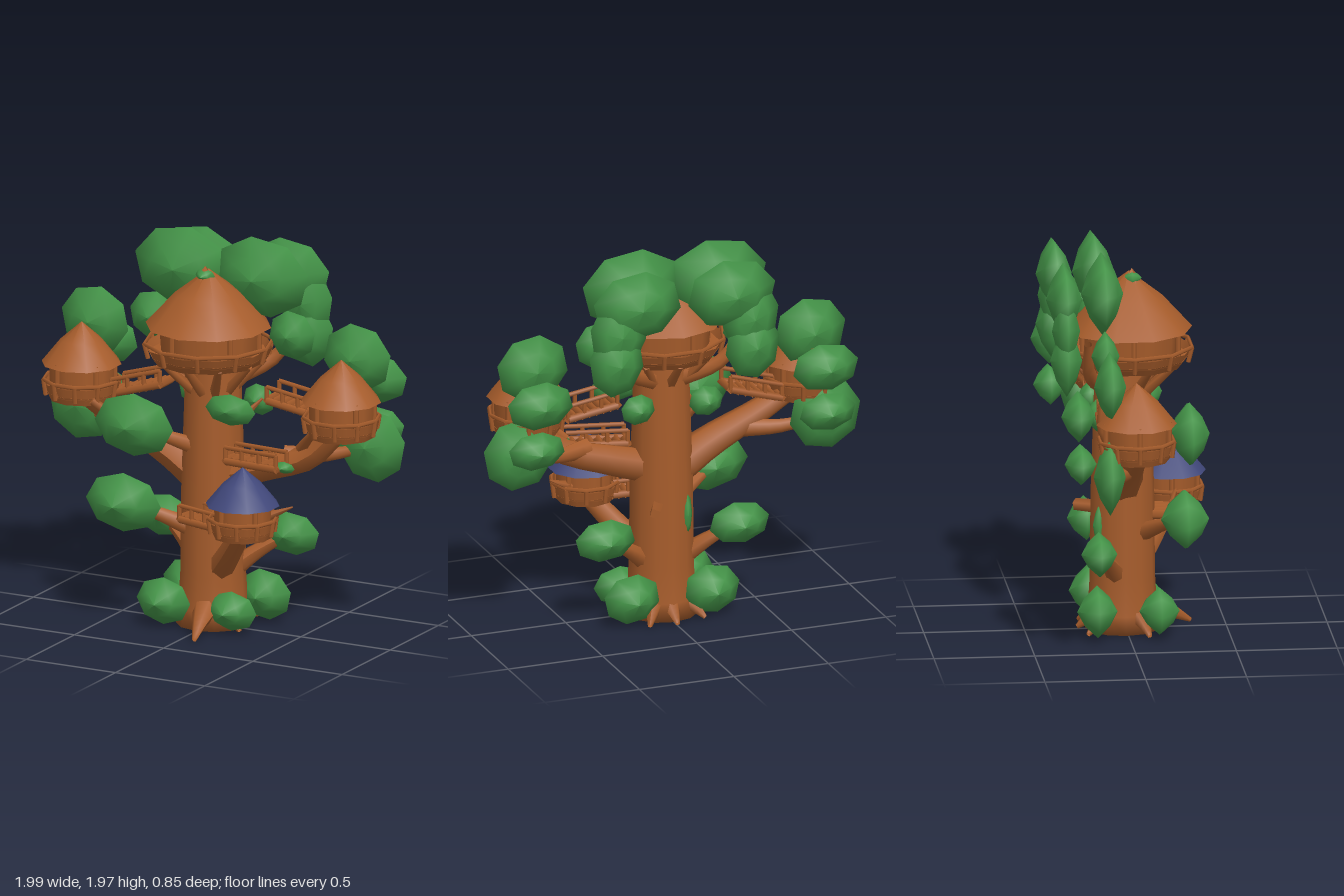
import * as THREE from 'three';

const wood = new THREE.MeshStandardMaterial({ color: 0xa65c2b, side: THREE.DoubleSide });
wood.name = 'wood brown';
const leaf = new THREE.MeshStandardMaterial({ color: 0x449448 });
leaf.name = 'leaf green';
const slate = new THREE.MeshStandardMaterial({ color: 0x40477a });
slate.name = 'roof blue';

const V = (x, y, z) => new THREE.Vector3(x, y, z);

function add(parent, name, geometry, material) {
  const mesh = new THREE.Mesh(geometry, material);
  mesh.name = name;
  parent.add(mesh);
  return mesh;
}

// Straight tapered stick between two points
function stick(parent, name, a, b, ra, rb = ra, sides = 5) {
  const mesh = add(parent, name, new THREE.CylinderGeometry(rb, ra, a.distanceTo(b), sides), wood);
  mesh.position.copy(a).lerp(b, 0.5);
  mesh.quaternion.setFromUnitVectors(V(0, 1, 0), b.clone().sub(a).normalize());
  return mesh;
}

// Curved branch that narrows from r0 to r1
function branch(parent, name, points, r0, r1, sides = 7) {
  const curve = new THREE.CatmullRomCurve3(points.map((p) => V(...p)));
  const steps = 8;
  const geo = new THREE.TubeGeometry(curve, steps, 1, sides);
  const pos = geo.attributes.position;
  const v = V(0, 0, 0);
  for (let i = 0; i < pos.count; i++) {
    const t = Math.floor(i / (sides + 1)) / steps;
    const c = curve.getPointAt(t);
    v.fromBufferAttribute(pos, i).sub(c).multiplyScalar(r0 + (r1 - r0) * t).add(c);
    pos.setXYZ(i, v.x, v.y, v.z);
  }
  geo.computeVertexNormals();
  return add(parent, name, geo, wood);
}

// Leaf clump: a bulging diamond with its sharp rim facing the sides
function clump(parent, x, y, z, rx, ry, rz, turn = 0) {
  const profile = [[0, -1], [0.55, -0.62], [1, 0], [0.55, 0.62], [0, 1]].map((p) => new THREE.Vector2(...p));
  const geo = new THREE.LatheGeometry(profile, 8, turn);
  geo.rotateX(Math.PI / 2);
  geo.scale(rx, ry, rz);
  add(parent, 'leafClump', geo, leaf).position.set(x, y, z);
}

// Round hut: deck with parapet, walls with posts, pointed roof over a wooden soffit
function hut(parent, name, x, y, z, o) {
  const g = new THREE.Group();
  g.name = name;
  g.position.set(x, y, z);
  parent.add(g);
  const n = 10;
  add(g, 'deck', new THREE.CylinderGeometry(o.deck * 0.95, o.deck * 0.86, 0.04, n), wood).position.y = 0.02;
  const wall = new THREE.CylinderGeometry(o.deck, o.deck * 0.93, o.rail - 0.045, n, 1, true);
  add(g, 'parapet', wall, wood).position.y = 0.03 + (o.rail - 0.045) / 2;
  const rail = add(g, 'railing', new THREE.TorusGeometry(o.deck, 0.011, 4, n), wood);
  rail.rotation.x = Math.PI / 2;
  rail.position.y = o.rail;
  for (let i = 0; i < n; i++) {
    const a = (i / n) * Math.PI * 2;
    const c = Math.cos(a), s = Math.sin(a);
    stick(g, 'railPost', V(c * o.deck * 0.94, 0.02, s * o.deck * 0.94), V(c * o.deck, o.rail, s * o.deck), 0.012);
    if (i % 2) {
      stick(g, 'wallPost', V(c * o.wall, 0.03, s * o.wall), V(c * o.wall, o.eave + 0.02, s * o.wall), 0.014);
    }
  }
  const wallH = o.eave + 0.02;
  add(g, 'walls', new THREE.CylinderGeometry(o.wall, o.wall * 0.94, wallH, n), wood).position.y = wallH / 2;
  const shape = [[o.roof, 0], [o.roof * 0.53, o.height * 0.56], [0.001, o.height]];
  const roof = new THREE.LatheGeometry(shape.map((p) => new THREE.Vector2(...p)), n);
  add(g, 'roof', roof, o.material || wood).position.y = o.eave;
  const soffit = new THREE.LatheGeometry([new THREE.Vector2(o.wall * 0.7, 0.012), new THREE.Vector2(o.roof * 0.99, 0)], n);
  add(g, 'soffit', soffit, wood).position.y = o.eave;
}

// Plank walkway with rails on both sides
function walkway(parent, a, b, width) {
  const g = new THREE.Group();
  g.name = 'walkway';
  parent.add(g);
  const side = b.clone().sub(a).cross(V(0, 1, 0)).normalize().multiplyScalar(width / 2);
  for (let i = 0; i < 8; i++) {
    const p = a.clone().lerp(b, i / 7);
    stick(g, 'plank', p.clone().sub(side), p.clone().add(side), 0.024, 0.024, 4);
  }
  for (const s of [-1, 1]) {
    const p = a.clone().addScaledVector(side, s), q = b.clone().addScaledVector(side, s);
    const up = V(0, 0.07, 0);
    stick(g, 'beam', p, q, 0.02);
    stick(g, 'handrail', p.clone().add(up), q.clone().add(up), 0.012);
    for (const t of [0, 0.33, 0.67, 1]) {
      const m = p.clone().lerp(q, t);
      stick(g, 'railPost', m, m.clone().add(up), 0.012);
    }
  }
}

export function createModel() {
  const tree = new THREE.Group();
  tree.name = 'treeHouse';

  // Trunk
  const trunkProfile = [[0.001, 0.01], [0.185, 0.01], [0.172, 0.1], [0.162, 0.28], [0.158, 0.7], [0.145, 1.1], [0.135, 1.4]];
  const trunk = new THREE.LatheGeometry(trunkProfile.map((p) => new THREE.Vector2(...p)), 12);
  add(tree, 'trunk', trunk, wood).position.z = -0.015;

  // Roots
  for (const [x, z] of [[0.08, 0.33], [0.2, 0.08], [-0.22, 0.1], [-0.16, -0.2], [0.14, -0.22], [0.0, -0.24]]) {
    branch(tree, 'root', [[x * 0.3, 0.12, z * 0.3], [x * 0.7, 0.07, z * 0.7], [x, 0.015, z]], 0.07, 0.012, 6);
  }

  // Huts
  hut(tree, 'topHut', -0.01, 1.36, 0.015,
    { deck: 0.32, rail: 0.095, wall: 0.25, eave: 0.18, roof: 0.315, height: 0.29 });
  const small = { deck: 0.19, rail: 0.1, wall: 0.165, eave: 0.18, roof: 0.2, height: 0.21 };
  hut(tree, 'rightHut', -0.74, 1.06, -0.02, small);
  hut(tree, 'leftHut', 0.715, 1.06, -0.02, small);
  hut(tree, 'frontHut', 0.305, 0.555, 0.245,
    { deck: 0.17, rail: 0.095, wall: 0.145, eave: 0.165, roof: 0.185, height: 0.19, material: slate });

  // Braces below the top hut
  for (let i = 0; i < 10; i++) {
    const a = (i / 10) * Math.PI * 2 + 0.3;
    const c = Math.cos(a), s = Math.sin(a);
    stick(tree, 'brace', V(c * 0.11, 1.22, s * 0.11), V(c * 0.27, 1.38, s * 0.27 + 0.01), 0.028, 0.018);
  }
  add(tree, 'roofKnob', new THREE.ConeGeometry(0.07, 0.09, 5), wood).position.set(-0.02, 1.8, 0.03);

  // Main boughs holding the side huts
  branch(tree, 'rightBough', [[-0.05, 0.74, -0.02], [-0.24, 0.86, -0.02], [-0.5, 0.98, -0.01], [-0.73, 1.1, 0]], 0.1, 0.05);
  branch(tree, 'leftBough', [[0.05, 0.78, -0.02], [0.3, 0.85, -0.02], [0.54, 0.93, -0.01], [0.72, 1.1, 0]], 0.09, 0.05);
  for (const s of [-1, 1]) {
    branch(tree, 'sideBranch', [[s * 0.4, 0.92, -0.02], [s * 0.6, 0.93, -0.1], [s * 0.8, 0.98, -0.16]], 0.05, 0.02);
    branch(tree, 'lowBranch', [[s * 0.08, 0.28, -0.04], [s * 0.2, 0.38, -0.1], [s * 0.36, 0.48, -0.16]], 0.055, 0.02);
    branch(tree, 'hutBranch', [[s * 0.68, 1.06, -0.05], [s * 0.72, 1.2, -0.18], [s * 0.74, 1.42, -0.18]], 0.04, 0.02);
    branch(tree, 'topBranch', [[s * 0.06, 1.25, -0.08], [s * 0.25, 1.36, -0.2], [s * 0.36, 1.55, -0.22]], 0.05, 0.02);
    stick(tree, 'hutBrace', V(s * 0.5, 0.97, 0), V(s * 0.62, 1.09, 0.1), 0.03, 0.02);
    stick(tree, 'twig', V(s * 0.1, 1.02, -0.05), V(s * 0.22, 1.16, -0.12), 0.03, 0.006);
  }
  branch(tree, 'frontBranch', [[0.06, 0.3, 0.04], [0.17, 0.42, 0.14], [0.3, 0.58, 0.25]], 0.07, 0.05);
  branch(tree, 'leafBranch', [[-0.06, 0.5, 0.06], [-0.2, 0.57, 0.14], [-0.36, 0.64, 0.22]], 0.05, 0.02);
  branch(tree, 'leafBranch', [[-0.05, 0.92, 0.06], [-0.15, 0.98, 0.16], [-0.28, 1.05, 0.26]], 0.045, 0.02);
  stick(tree, 'stub', V(0.06, 0.61, -0.12), V(0.12, 0.61, -0.24), 0.035, 0.03, 4);
  stick(tree, 'twig', V(0.38, 0.64, 0.18), V(0.53, 0.71, 0.14), 0.03, 0.004);

  // Walkways
  walkway(tree, V(-0.58, 1.1, -0.1), V(-0.31, 1.18, -0.1), 0.13);
  walkway(tree, V(0.55, 1.14, -0.1), V(0.29, 1.18, -0.1), 0.13);
  walkway(tree, V(0.15, 0.89, 0.08), V(0.46, 0.9, 0.13), 0.09);
  walkway(tree, V(-0.05, 0.59, 0.17), V(0.18, 0.58, 0.21), 0.11);

  // Leaf clumps: mirrored pairs
  for (const s of [-1, 1]) {
    const t = s * 0.2;
    clump(tree, s * 0.22 - 0.02, 1.775, -0.14, 0.27, 0.205, 0.105, t); // crown
    clump(tree, s * 0.25, 1.755, -0.33, 0.235, 0.18, 0.09, t);
    clump(tree, s * 0.35, 1.62, -0.33, 0.15, 0.2, 0.07, t);
    clump(tree, s * 0.39 - 0.015, 1.5, -0.14, 0.13, 0.125, 0.07, t);
    clump(tree, s * 0.36, 1.47, -0.33, 0.145, 0.18, 0.08, t);
    clump(tree, s * 0.735, 1.43, -0.15, 0.19, 0.175, 0.08, t); // around side huts
    clump(tree, s * 0.755, 1.29, -0.31, 0.175, 0.125, 0.085, t);
    clump(tree, s * 0.81, 0.99, -0.16, 0.19, 0.19, 0.08, t);
    clump(tree, s * 0.77, 1.05, -0.3, 0.15, 0.1, 0.08, t);
    clump(tree, s * 0.355, 0.475, -0.165, 0.16, 0.11, 0.09, t); // low branches
    clump(tree, s * 0.18, 1.14, -0.16, 0.09, 0.08, 0.06, t);
    clump(tree, s * 0.21, 0.145, -0.16, 0.15, 0.13, 0.1, t); // base
  }
  // Single clumps on the front
  clump(tree, -0.28, 1.06, 0.29, 0.22, 0.16, 0.1);
  clump(tree, -0.355, 0.645, 0.26, 0.21, 0.15, 0.12);
  clump(tree, 0.18, 1.16, 0.14, 0.14, 0.08, 0.06);
  clump(tree, -0.19, 0.135, 0.15, 0.15, 0.12, 0.1);
  clump(tree, 0.17, 0.12, 0.11, 0.14, 0.1, 0.1);
  // Small tufts on the walkway, trunk and roof tip
  clump(tree, 0.48, 0.905, 0.14, 0.06, 0.03, 0.04);
  clump(tree, 0.155, 0.8, -0.01, 0.025, 0.08, 0.03);
  clump(tree, -0.085, 0.55, -0.14, 0.03, 0.11, 0.03);
  clump(tree, -0.02, 1.795, 0.03, 0.055, 0.035, 0.05);

  return tree;
}
